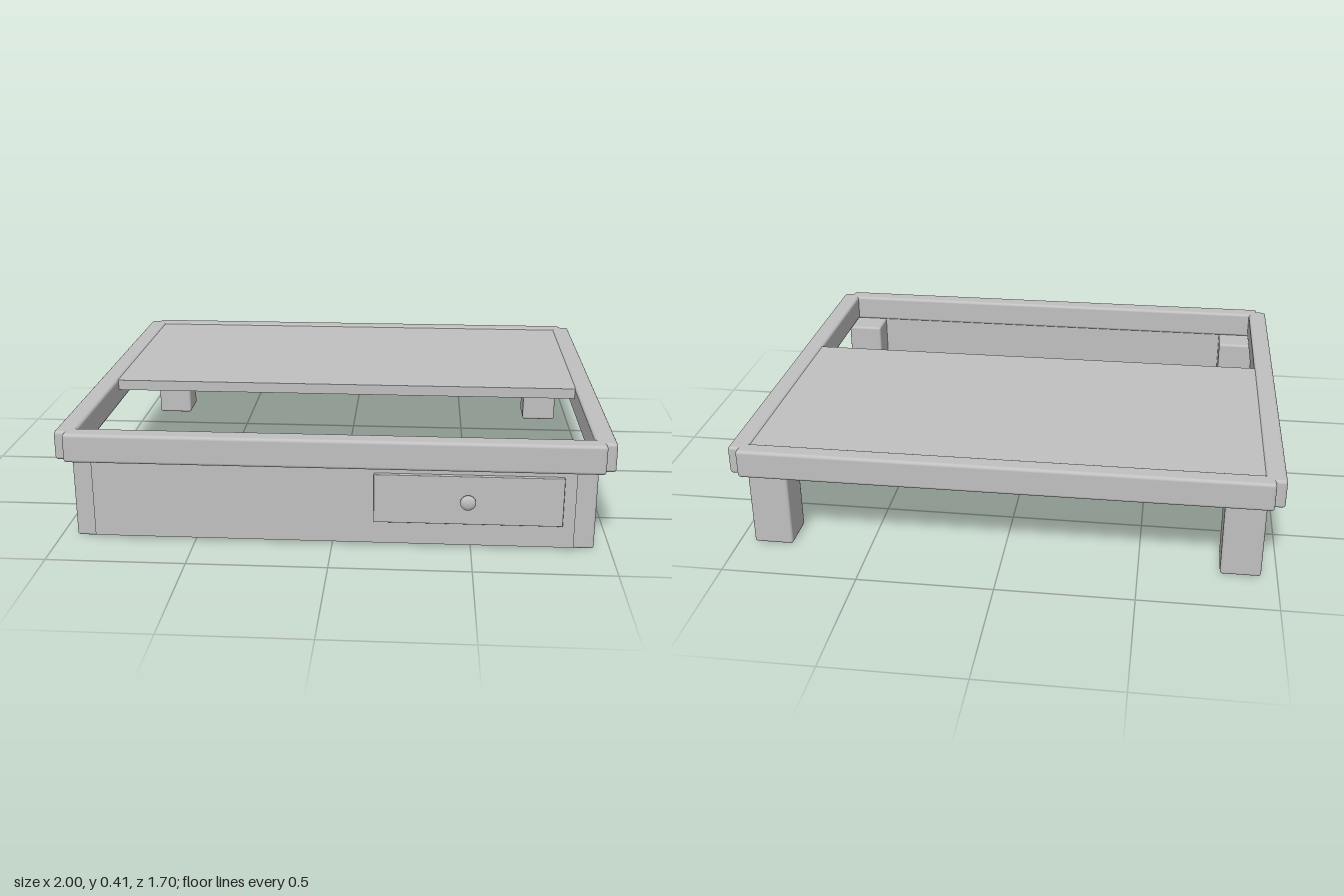
import * as THREE from 'three';
import { RoundedBoxGeometry } from 'three/addons/geometries/RoundedBoxGeometry.js';

export function createModel() {
  const model = new THREE.Group();
  model.name = 'lowTable';
  const grey = new THREE.MeshStandardMaterial({ color: 0xc0c0c0 });
  grey.name = 'grey';

  // Box given by its limits on each axis, with softened edges when r > 0
  function block(name, [x0, x1], [y0, y1], [z0, z1], r = 0) {
    const size = [x1 - x0, y1 - y0, z1 - z0];
    const geometry = r > 0
      ? new RoundedBoxGeometry(...size, 3, r)
      : new THREE.BoxGeometry(...size);
    const mesh = new THREE.Mesh(geometry, grey);
    mesh.name = name;
    mesh.position.set((x0 + x1) / 2, (y0 + y1) / 2, (z0 + z1) / 2);
    model.add(mesh);
  }

  // Top frame: the front and back rails stick out past the side rails
  const railY = [0.3, 0.408];
  block('frontRail', [-0.962, 0.962], railY, [0.755, 0.83], 0.012);
  block('backRail', [-0.962, 0.962], railY, [-0.848, -0.778], 0.012);
  block('leftRail', [0.925, 1], railY, [-0.82, 0.8], 0.012);
  block('rightRail', [-1, -0.925], railY, [-0.82, 0.8], 0.012);

  // Table top covering the back part of the frame
  block('tableTop', [-0.93, 0.93], [0.362, 0.403], [-0.785, 0.15]);

  // Four square legs
  for (const [side, x] of [['Left', [0.795, 0.942]], ['Right', [-0.942, -0.795]]]) {
    block('front' + side + 'Leg', x, [0, 0.302], [0.637, 0.787], 0.01);
    block('back' + side + 'Leg', x, [0, 0.302], [-0.8, -0.65], 0.01);
  }

  // Front apron with the drawer face
  block('frontApron', [-0.87, 0.867], [0.01, 0.302], [0.762, 0.802]);
  block('drawerFace', [0.15, 0.823], [0.097, 0.28], [0.795, 0.819], 0.003);

  // Drawer knob: short neck and rounded head, turned around z
  const profile = [
    [0.014, 0], [0.013, 0.008], [0.022, 0.01], [0.028, 0.015],
    [0.028, 0.02], [0.023, 0.026], [0.013, 0.03], [0, 0.031],
  ].map(([r, h]) => new THREE.Vector2(r, h));
  const knob = new THREE.Mesh(new THREE.LatheGeometry(profile, 24), grey);
  knob.name = 'drawerKnob';
  knob.rotation.x = Math.PI / 2;
  knob.position.set(0.485, 0.187, 0.817);
  model.add(knob);

  return model;
}
